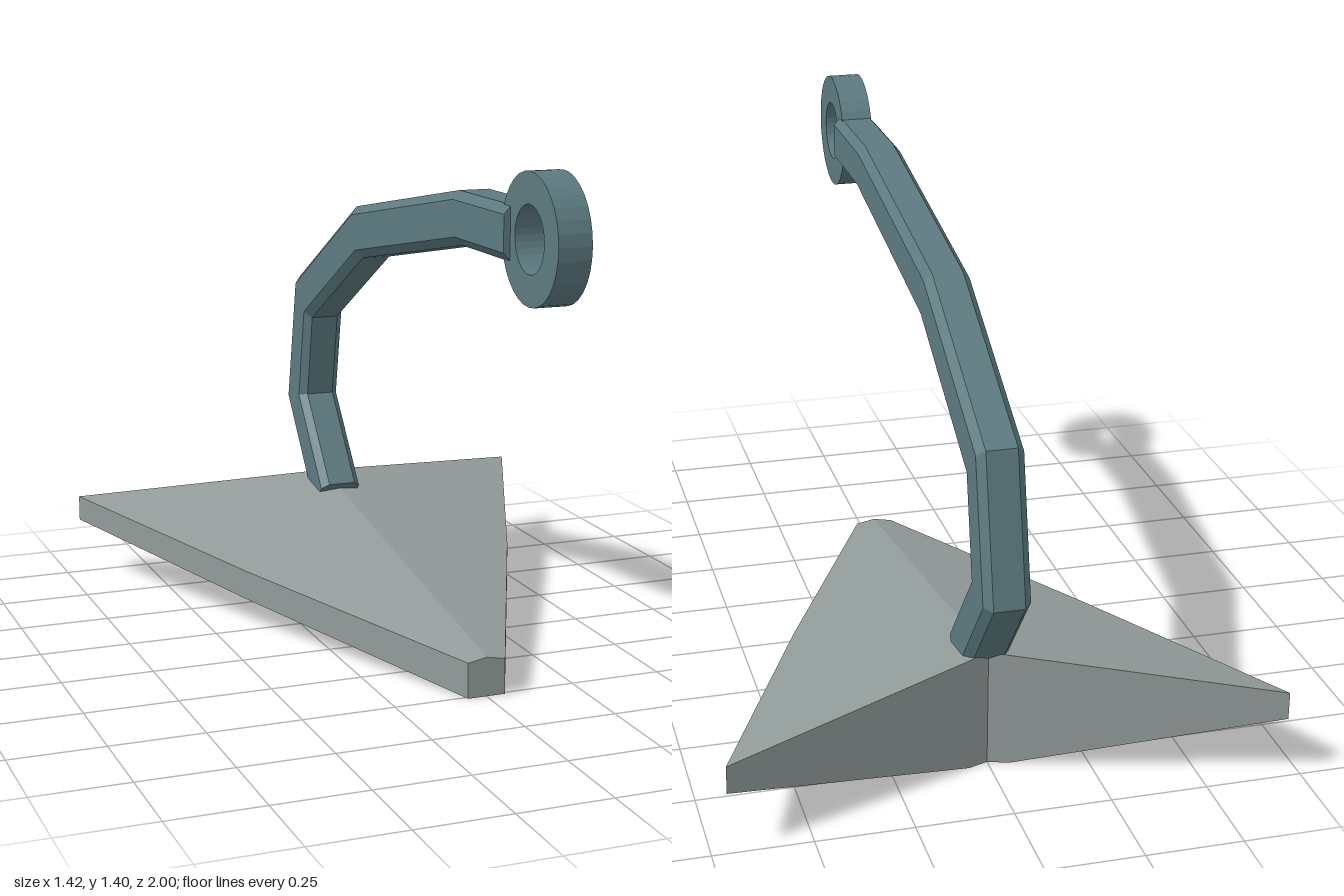
import * as THREE from 'three';

const steel = new THREE.MeshStandardMaterial({ color: 0x5c7a80 });
steel.name = 'blue steel';
const iron = new THREE.MeshStandardMaterial({ color: 0x929c9a });
iron.name = 'grey iron';

// Flat-shaded mesh from polygons (each a convex loop, counter-clockwise from outside)
function polyMesh(name, faces, material) {
  const pos = [];
  for (const f of faces) {
    for (let i = 1; i < f.length - 1; i++) pos.push(...f[0], ...f[i], ...f[i + 1]);
  }
  const g = new THREE.BufferGeometry();
  g.setAttribute('position', new THREE.Float32BufferAttribute(pos, 3));
  g.computeVertexNormals();
  const mesh = new THREE.Mesh(g, material);
  mesh.name = name;
  return mesh;
}

// Bent bar with chamfered edges: each station is outer z, y then inner z, y
function shank() {
  const stations = [
    [0.73, 1.305, 0.73, 1.168],
    [0.41, 1.305, 0.43, 1.168],
    [-0.335, 1.178, -0.29, 1.037],
    [-0.842, 0.905, -0.73, 0.795],
    [-0.928, 0.52, -0.78, 0.55],
    [-0.69, 0.22, -0.585, 0.31],
  ];
  // x offset and position from inner (0) to outer (1)
  const section = [
    [0.04, 0], [0.06, 0.16], [0.06, 0.84], [0.04, 1],
    [-0.04, 1], [-0.06, 0.84], [-0.06, 0.16], [-0.04, 0],
  ];
  const rings = stations.map(([oz, oy, iz, iy]) =>
    section.map(([x, t]) => [x, iy + (oy - iy) * t, iz + (oz - iz) * t]));
  const faces = [rings[0], [...rings[rings.length - 1]].reverse()];
  for (let i = 0; i < rings.length - 1; i++) {
    for (let j = 0; j < 8; j++) {
      const k = (j + 1) % 8;
      faces.push([rings[i][j], rings[i + 1][j], rings[i + 1][k], rings[i][k]]);
    }
  }
  return polyMesh('shank', faces, steel);
}

// Shackle ring across the front end of the shank
function ring() {
  const shape = new THREE.Shape().absarc(0, 0, 0.161, 0, Math.PI * 2);
  shape.holes.push(new THREE.Path().absarc(0, 0, 0.083, 0, Math.PI * 2, true));
  const g = new THREE.ExtrudeGeometry(shape, { depth: 0.086, bevelEnabled: false, curveSegments: 16 });
  g.translate(0, 0, -0.043).rotateY(Math.PI / 2).translate(0, 1.236, 0.839);
  const mesh = new THREE.Mesh(g, steel);
  mesh.name = 'shackleRing';
  return mesh;
}

// Swept-back plough blade, one half mirrored to the other
function fluke() {
  const noseTop = [0, 0.106, 0.51], peak = [0, 0.315, -0.752];
  const noseBase = [0, 0, 0.51], heel = [0, 0, -0.752];
  const noseUp = [0.052, 0.096, 0.51], noseLow = [0.052, 0, 0.51];
  const midUp = [0.4, 0.166, -0.26], midLow = [0.4, 0.084, -0.26];
  const tipUp = [0.708, 0.238, -1], tipLow = [0.708, 0.165, -1];
  const heelSide = [0.052, 0, -0.77];
  const half = [
    [noseTop, noseUp, midUp], [noseTop, midUp, peak], [peak, midUp, tipUp], // top
    [noseLow, midLow, midUp, noseUp], [midLow, tipLow, tipUp, midUp],       // outer edge
    [noseBase, noseLow, noseUp, noseTop],                                  // nose
    [noseBase, heel, heelSide, noseLow],                                   // keel
    [noseLow, heelSide, midLow], [midLow, heelSide, tipLow],               // underside
    [peak, tipUp, tipLow], [peak, tipLow, heelSide], [peak, heelSide, heel], // rear
  ];
  const mirrored = half.map(f => f.map(([x, y, z]) => [-x, y, z]).reverse());
  return polyMesh('fluke', [...half, ...mirrored], iron);
}

export function createModel() {
  const group = new THREE.Group();
  group.name = 'anchor';
  group.add(shank(), ring(), fluke());
  return group;
}
